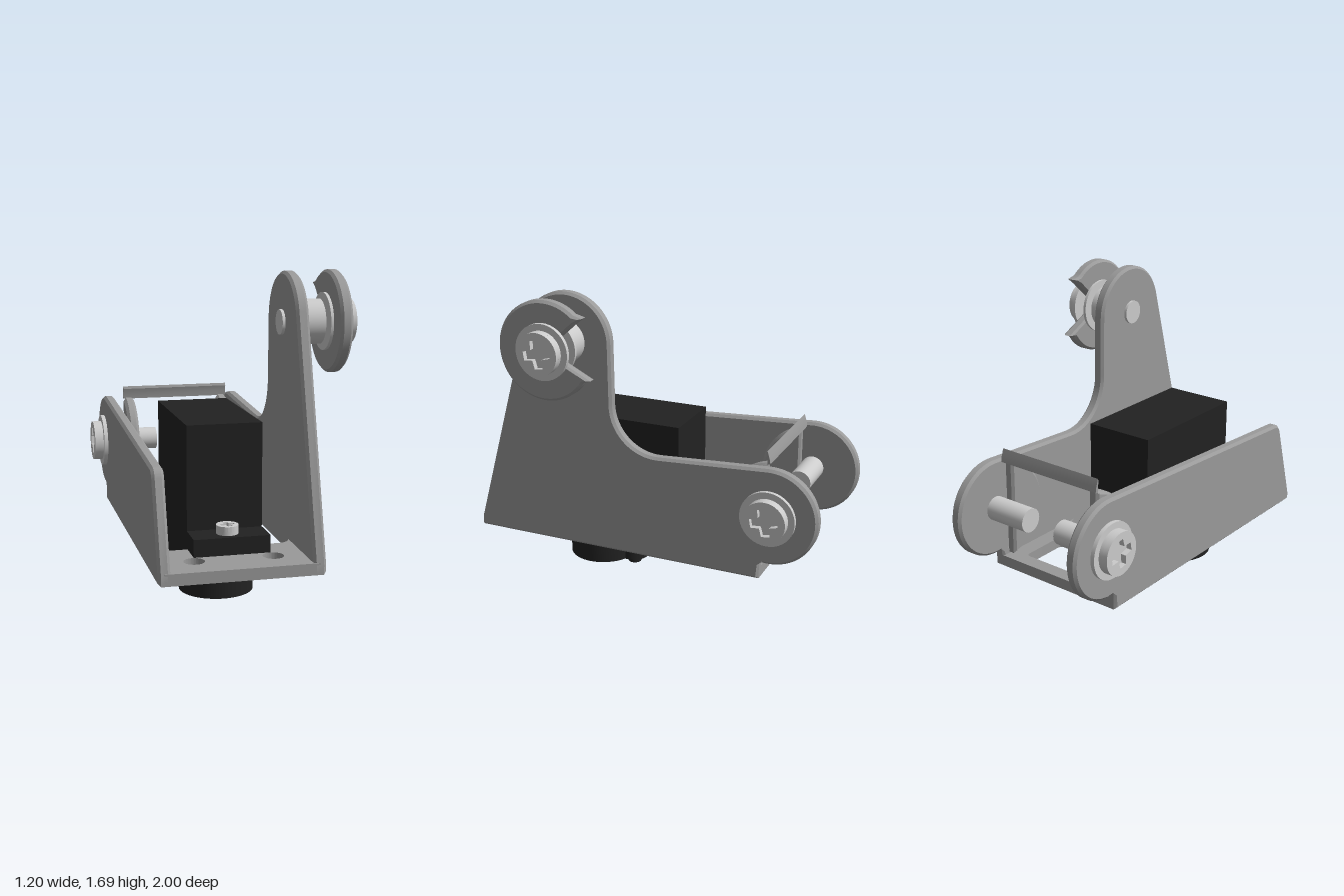
import * as THREE from 'three';
import { toCreasedNormals } from 'three/addons/utils/BufferGeometryUtils.js';

const mat = (color) => new THREE.MeshStandardMaterial({ color });

export function createModel() {
  const model = new THREE.Group();
  const light = mat(0xcccccc), sheet = mat(0x9a9a9a), black = mat(0x222222);
  const PI = Math.PI, rad = (d) => (d * PI) / 180;

  const add = (name, geo, material, parent = model) => {
    const mesh = new THREE.Mesh(geo, material);
    mesh.name = name;
    parent.add(mesh);
    return mesh;
  };
  const box = (name, x0, x1, y0, y1, z0, z1, material) => {
    const m = add(name, new THREE.BoxGeometry(x1 - x0, y1 - y0, z1 - z0), material);
    m.position.set((x0 + x1) / 2, (y0 + y1) / 2, (z0 + z1) / 2);
    return m;
  };
  // Extrusion with chamfered rims; total thickness stays equal to depth
  const extrude = (shape, depth, bevel = 0) => {
    const g = new THREE.ExtrudeGeometry(shape, {
      depth: depth - 2 * bevel, curveSegments: 28, bevelEnabled: bevel > 0,
      bevelThickness: bevel, bevelSize: bevel, bevelOffset: -bevel, bevelSegments: 1,
    });
    g.translate(0, 0, bevel);
    return toCreasedNormals(g, 0.5);
  };
  // Side profile drawn in (-z, y), extruded from x0 to x1
  const side = (name, shape, x0, x1, bevel, material = sheet) => {
    const m = add(name, extrude(shape, x1 - x0, bevel).rotateY(PI / 2), material);
    m.position.x = x0;
    return m;
  };
  const rod = (name, r, x0, x1, y, z, material = light) => {
    const m = add(name, new THREE.CylinderGeometry(r, r, x1 - x0, 40).rotateZ(PI / 2), material);
    m.position.set((x0 + x1) / 2, y, z);
  };
  const post = (name, r, y0, y1, x, z, material) => {
    const m = add(name, new THREE.CylinderGeometry(r, r, y1 - y0, 40), material);
    m.position.set(x, (y0 + y1) / 2, z);
  };
  const circle = (x, y, r) => new THREE.Path().absarc(x, y, r, 0, 2 * PI, true);
  const roundRect = (x0, x1, y0, y1, r) => {
    const p = new THREE.Path();
    p.absarc(x1 - r, y1 - r, r, 0, PI / 2);
    p.absarc(x0 + r, y1 - r, r, PI / 2, PI);
    p.absarc(x0 + r, y0 + r, r, PI, 1.5 * PI);
    p.absarc(x1 - r, y0 + r, r, 1.5 * PI, 2 * PI);
    p.closePath();
    return p;
  };

  // Screw head with a cross recess, facing local +z
  const screwHead = (name, r, h) => {
    const g = new THREE.Group();
    g.name = name;
    const s = new THREE.Shape().absarc(0, 0, r, 0, 2 * PI);
    const pts = [];
    for (let i = 0; i < 4; i++) {
      const a = (i * PI) / 2 + 0.17;
      for (const [u, v] of [[0.65, -0.2], [0.65, 0.2], [0.24, 0.24]]) {
        pts.push(new THREE.Vector2(u * Math.cos(a) - v * Math.sin(a), u * Math.sin(a) + v * Math.cos(a)).multiplyScalar(r));
      }
    }
    s.holes.push(new THREE.Path(pts));
    add('recessedHead', extrude(s, h * 0.6).translate(0, 0, h * 0.4), light, g);
    add('headBase', new THREE.CylinderGeometry(r, r, h * 0.4, 40).rotateX(PI / 2).translate(0, 0, h * 0.2), light, g);
    model.add(g);
    return g;
  };
  const sideScrew = (name, x, dir, y, z) => {
    rod(name + 'Washer', 0.15, Math.min(x, x + dir * 0.022), Math.max(x, x + dir * 0.022), y, z);
    const head = screwHead(name + 'Head', 0.115, 0.05);
    head.position.set(x + dir * 0.022, y, z);
    head.rotation.y = (dir * PI) / 2;
  };

  // Side plates: shared rear lobe, different fronts
  const AX = 0.62, AZ = -0.735, UY = 1.43, UZ = 0.42, R = 0.265;
  const plateShape = (tall) => {
    const s = new THREE.Shape();
    s.moveTo(-1, 0.26);
    s.lineTo(0.69, 0.26);
    s.lineTo(0.69, 0.36);
    s.absarc(-AZ, AX, R, rad(-100), rad(93), false);
    if (tall) {
      s.lineTo(0.115, 0.85);
      s.absarc(0.1, 1.105, 0.255, -PI / 2, -PI, true);
      s.absarc(-UZ, UY, 0.26, 0, rad(164), false);
    } else {
      s.lineTo(-0.8, 0.797);
      s.quadraticCurveTo(-0.845, 0.795, -0.862, 0.75);
    }
    s.lineTo(-1, 0.31);
    s.closePath();
    return s;
  };
  side('tallSidePlate', plateShape(true), 0.235, 0.3, 0.014);
  side('lowSidePlate', plateShape(false), -0.53, -0.468, 0.014);

  // Floor plate with openings, drawn in (x, -z)
  const floor = new THREE.Shape([[-0.5, -1], [0.27, -1], [0.27, 0.69], [-0.5, 0.69]].map((p) => new THREE.Vector2(...p)));
  floor.holes.push(
    roundRect(-0.468, 0.235, -0.63, 0.17, 0.07),
    roundRect(-0.37, 0.145, 0.33, 0.61, 0.025),
    circle(-0.32, -0.83, 0.053), circle(0.08, -0.83, 0.053));
  add('floorPlate', extrude(floor, 0.06).rotateX(-PI / 2), sheet).position.y = 0.26;
  post('rearRivet', 0.03, 0.245, 0.323, -0.12, -0.235, light);

  // Motor: body, mounting ear, gear housing and output shaft
  const MX = -0.115;
  box('motorBody', -0.31, 0.08, 0.17, 0.95, -0.14, 0.615, black);
  box('motorEar', -0.31, 0.08, 0.32, 0.41, 0.61, 0.775, black);
  const housing = new THREE.Shape().absarc(MX, -0.42, 0.195, 0, 2 * PI);
  housing.holes.push(circle(MX, -0.42, 0.08));
  add('gearHousing', extrude(housing, 0.135).rotateX(-PI / 2), black).position.y = 0.04;
  post('smallGearHousing', 0.085, 0.04, 0.175, MX, 0.225, black);
  post('outputShaft', 0.037, 0, 0.06, MX, 0.22, black);
  post('earScrewShank', 0.03, 0.245, 0.42, -0.12, 0.69, light);
  const earScrew = screwHead('earScrew', 0.057, 0.045);
  earScrew.position.set(-0.12, 0.41, 0.69);
  earScrew.rotation.x = -PI / 2;

  // Rear bracket: two half discs joined by a thin bar
  const half = new THREE.Shape();
  half.absarc(-AZ, AX, R, rad(99.8), rad(260.2), false);
  half.closePath();
  for (const x of [-0.42, 0.147]) side('halfDisc', half, x, x + 0.063, 0.016);
  const bar = new THREE.Shape([[0.692, 0.875], [0.708, 0.88], [0.703, 0.91], [0.69, 0.95], [0.684, 0.935], [0.69, 0.91]].map((p) => new THREE.Vector2(...p)));
  side('bracketBar', bar, -0.42, 0.21, 0);

  // Rear pins and screws
  rod('rearPin', 0.065, -0.01, 0.24, AX, AZ);
  rod('rearPin', 0.065, -0.47, -0.22, AX, AZ);
  sideScrew('rearScrew', 0.3, 1, AX, AZ);
  sideScrew('rearScrew', -0.53, -1, AX, AZ);

  // Upper spool: spacer, notched disc and screw
  rod('upperPin', 0.065, 0.22, 0.5, UY, UZ);
  rod('upperSpacer', 0.117, 0.3, 0.435, UY, UZ);
  rod('upperInnerWasher', 0.15, 0.45, 0.466, UY, UZ);
  const disc = new THREE.Shape();
  disc.moveTo(-UZ, UY);
  disc.lineTo(-0.245, 1.585);
  disc.lineTo(-0.2, 1.62);
  disc.absarc(-UZ, UY, R, rad(50), rad(327), false);
  disc.lineTo(-0.16, 1.3);
  disc.closePath();
  side('notchedDisc', disc, 0.465, 0.53, 0.014);
  sideScrew('upperScrew', 0.53, 1, UY, UZ);

  return model;
}
